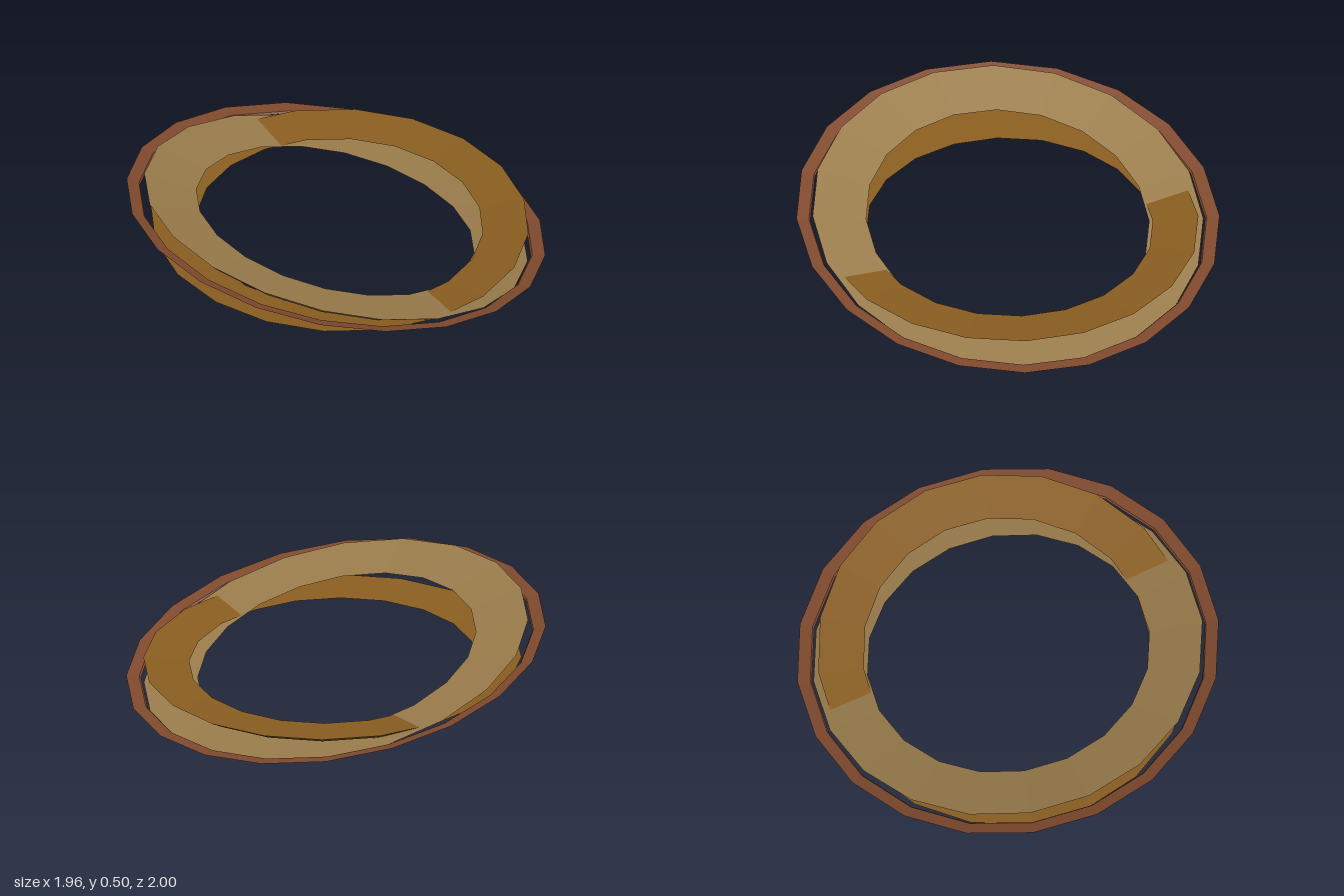
import * as THREE from 'three';

const SIDES = 20;

// Faceted ring swept from a thin triangular section of [radius, height] points
function makeRing(name, section, material, x, y, tiltDegrees) {
  const points = [...section, section[0]].map(([r, h]) => new THREE.Vector2(r, h));
  const ring = new THREE.Mesh(new THREE.LatheGeometry(points, SIDES), material);
  ring.name = name;
  ring.position.set(x, y, 0);
  ring.rotation.z = -THREE.MathUtils.degToRad(tiltDegrees);
  return ring;
}

function makeMaterial(name, color) {
  const material = new THREE.MeshStandardMaterial({ color, flatShading: true });
  material.name = name;
  return material;
}

export function createModel() {
  const tan = makeMaterial('tan', 0x9b7d4c);
  const ochre = makeMaterial('ochre', 0x8a5e20);
  const rust = makeMaterial('rust', 0x804a2e);

  const model = new THREE.Group();
  model.name = 'tiltedRings';

  // Sections run bottom edge, outer rim, inner rim
  model.add(
    // Steepest broad ring
    makeRing('steepRing', [[0.86, -0.042], [0.925, 0], [0.67, -0.02]], tan, 0, 0.261, 14.8),
    // Nearly level broad ring
    makeRing('levelRing', [[0.83, -0.037], [0.89, 0], [0.675, -0.018]], ochre, 0.02, 0.235, 1.9),
    // Narrow ring around the others
    makeRing('outerRing', [[0.933, -0.018], [1, 0], [0.94, -0.009]], rust, 0, 0.262, 11.2),
  );
  return model;
}
